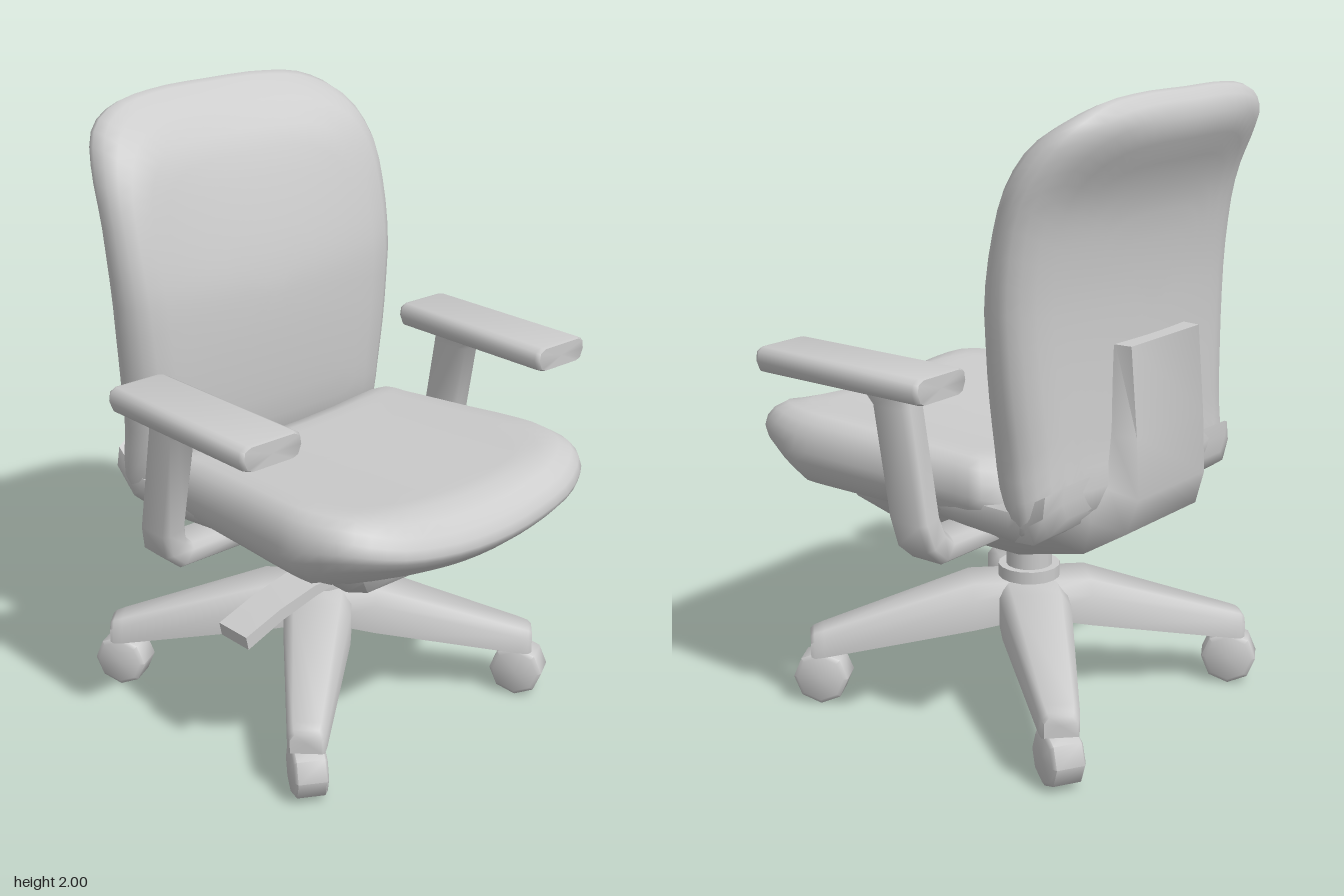
import * as THREE from 'three';
import { toCreasedNormals } from 'three/addons/utils/BufferGeometryUtils.js';

const material = new THREE.MeshStandardMaterial({ color: 0xcccccc });
const V = (x, y, z) => new THREE.Vector3(x, y, z);

function part(name, geometry, parent) {
  const mesh = new THREE.Mesh(geometry, material);
  mesh.name = name;
  parent.add(mesh);
  return mesh;
}

// Skin equal-length rings, close both ends, and turn the faces outward
function loft(rings, crease = 1.1) {
  const tris = [];
  const n = rings[0].length;
  for (let i = 0; i < rings.length - 1; i++) {
    for (let j = 0; j < n; j++) {
      const k = (j + 1) % n;
      const [a, b, c, d] = [rings[i][j], rings[i][k], rings[i + 1][k], rings[i + 1][j]];
      tris.push([a, b, c], [a, c, d]);
    }
  }
  for (const [ring, last] of [[rings[0], false], [rings[rings.length - 1], true]]) {
    const mid = ring.reduce((s, p) => s.add(p), V(0, 0, 0)).divideScalar(n);
    ring.forEach((p, j) => {
      const q = ring[(j + 1) % n];
      tris.push(last ? [mid, p, q] : [mid, q, p]);
    });
  }
  const volume = tris.reduce((s, [a, b, c]) => s + a.dot(b.clone().cross(c)), 0);
  const points = tris.flatMap(([a, b, c]) => (volume > 0 ? [a, b, c] : [a, c, b]));
  return toCreasedNormals(new THREE.BufferGeometry().setFromPoints(points), crease);
}

// Closed smooth outline from its right half, listed from one centre point to the other
function outline(half, count) {
  const mirrored = half.slice(1, -1).reverse().map(([u, v]) => [-u, v]);
  const pts = [...half, ...mirrored].map(([u, v]) => V(u, v, 0));
  return new THREE.CatmullRomCurve3(pts, true).getPoints(count).slice(0, -1);
}

// Cushion: nested outlines swept between a low and a high surface
const FLAT = [0.08, 0.2, 0.32, 0.44, 0.56, 0.68, 0.78];
const CUSHION = [...FLAT.map((s) => [s, 0]), [0.88, 0.02], [0.95, 0.12], [0.99, 0.27], [1, 0.42],
  [0.985, 0.65], [0.95, 0.83], [0.89, 0.96], ...FLAT.map((s) => [s, 1]).reverse()];
function cushion(edge, centre, low, high, place) {
  return loft(CUSHION.map(([s, h]) => edge.map((p) => {
    const u = p.x * s;
    const v = centre + (p.y - centre) * s;
    return place(u, v, THREE.MathUtils.lerp(low(u, v), high(u, v), h));
  })), 1.2);
}

// Smooth single-valued profile: lookup along a spline whose first coordinate rises
function profile(rows) {
  const pts = new THREE.SplineCurve(rows.map(([a, b]) => new THREE.Vector2(a, b))).getPoints(80);
  return (x) => {
    const i = Math.max(1, pts.findIndex((p) => p.x >= Math.min(x, rows[rows.length - 1][0] - 1e-4)));
    const [p, q] = [pts[i - 1], pts[i]];
    return THREE.MathUtils.lerp(p.y, q.y, THREE.MathUtils.clamp((x - p.x) / (q.x - p.x), 0, 1));
  };
}

export function createModel() {
  const chair = new THREE.Group();
  chair.name = 'officeChair';

  // Seat cushion, dished along the middle, its nose dipping at the front
  const seatEdge = outline([[0, 0.7], [0.2, 0.692], [0.38, 0.665], [0.5, 0.59], [0.555, 0.45],
    [0.555, 0.3], [0.535, 0.1], [0.51, -0.18], [0.49, -0.31], [0.25, -0.345], [0, -0.345]], 56);
  part('seat', cushion(seatEdge, 0.15,
    (x, z) => 0.64 + 0.4 * x * x + 0.5 * Math.max(0, z - 0.42),
    (x, z) => 0.91 + 0.05 * z + 0.21 * x * x - 2.5 * Math.max(0, z - 0.54) ** 2,
    (x, z, y) => V(x, y, z)), chair);

  // Backrest, leaning back at the top with its sides wrapped forward
  const backEdge = outline([[0, 2.0], [0.22, 1.998], [0.38, 1.975], [0.495, 1.91], [0.55, 1.79],
    [0.562, 1.62], [0.555, 1.4], [0.535, 1.15], [0.515, 0.95], [0.51, 0.8], [0.48, 0.735],
    [0.25, 0.72], [0, 0.715]], 64);
  const frontLine = profile([[0.7, -0.39], [0.85, -0.33], [1, -0.305], [1.3, -0.3], [1.5, -0.33],
    [1.8, -0.43], [1.93, -0.52], [2, -0.6]]);
  const rearLine = profile([[0.7, -0.49], [0.8, -0.57], [0.95, -0.56], [1.27, -0.545], [1.5, -0.55],
    [1.7, -0.585], [1.88, -0.68], [1.95, -0.7], [2, -0.66]]);
  part('backrest', cushion(backEdge, 1.35,
    (x, y) => rearLine(y) + 0.22 * x * x,
    (x, y) => frontLine(y) + 0.18 * x * x * THREE.MathUtils.clamp((y - 1.3) / 0.6, 0, 1),
    (x, y, z) => V(x, y, z)), chair);

  // Under-seat shell flaring out to the cushions and turning up into the back support:
  // outer z, y, half width, then inner z, y, half width
  const shell = [
    [0.42, 0.63, 0.26, 0.43, 0.71, 0.3], [0.26, 0.55, 0.2, 0.3, 0.73, 0.4],
    [0, 0.55, 0.2, 0, 0.74, 0.46], [-0.2, 0.55, 0.2, -0.2, 0.75, 0.48],
    [-0.45, 0.61, 0.2, -0.4, 0.77, 0.48], [-0.595, 0.7, 0.19, -0.49, 0.81, 0.4],
    [-0.63, 0.81, 0.18, -0.5, 0.88, 0.29], [-0.62, 1.0, 0.18, -0.49, 1.0, 0.23],
    [-0.595, 1.27, 0.18, -0.49, 1.27, 0.19]];
  part('seatShell', loft(shell.map(([z, y, w, iz, iy, iw]) => {
    const [mz, my, mw] = [z + (iz - z) * 0.5, y + (iy - y) * 0.5, w + (iw - w) * 0.5];
    return [V(-w, y, z), V(w, y, z), V(mw, my, mz), V(iw, iy, iz), V(-iw, iy, iz), V(-mw, my, mz)];
  }), 1.3), chair);

  // Web closing the corner between seat and backrest: z, bottom, top, half width
  const web = [[0.05, 0.74, 0.82, 0.48], [-0.2, 0.725, 0.81, 0.5], [-0.4, 0.715, 0.81, 0.505],
    [-0.47, 0.72, 0.85, 0.505], [-0.52, 0.755, 0.88, 0.5], [-0.545, 0.8, 0.9, 0.44]];
  part('cushionWeb', loft(web.map(([z, b, t, w]) => [
    V(-w * 0.94, b, z), V(w * 0.94, b, z), V(w, (b + t) / 2, z), V(w * 0.98, t, z),
    V(-w * 0.98, t, z), V(-w, (b + t) / 2, z)])), chair);

  // Armrests: outer x, y, inner x, y, front z, rear z
  const armPath = [
    [0.65, 1.15, 0.56, 1.15, 0.05, -0.14], [0.65, 1.1, 0.56, 1.1, 0, -0.145],
    [0.65, 0.76, 0.565, 0.78, -0.06, -0.205], [0.632, 0.68, 0.555, 0.73, -0.07, -0.22],
    [0.575, 0.63, 0.525, 0.7, -0.075, -0.225], [0.25, 0.63, 0.25, 0.7, -0.075, -0.225]];
  for (const side of [1, -1]) {
    const arm = new THREE.Group();
    arm.name = side > 0 ? 'leftArmrest' : 'rightArmrest';
    part('armSupport', loft(armPath.map(([ox, oy, ix, iy, zf, zr]) => {
      const at = (t, z) => V(side * (ox + (ix - ox) * t), oy + (iy - oy) * t, z);
      return [at(0.2, zf), at(0.8, zf), at(1, zf - 0.02), at(1, zr + 0.02),
        at(0.8, zr), at(0.2, zr), at(0, zr + 0.02), at(0, zf - 0.02)];
    })), arm);

    // Pad with rounded long edges and slightly chamfered ends
    const padEnds = [[0.4, 0.92], [0.385, 1], [-0.225, 1], [-0.24, 0.92]];
    const padSection = [[-0.085, 0.04], [0.085, 0.04], [0.108, 0.028], [0.113, 0],
      [0.1, -0.032], [0.08, -0.04], [-0.08, -0.04], [-0.1, -0.032], [-0.113, 0], [-0.108, 0.028]];
    part('armPad', loft(padEnds.map(([z, s]) =>
      padSection.map(([x, y]) => V(side * 0.605 + x * s, 1.18 + y * s, z)))), arm);
    chair.add(arm);
  }

  // Height lever on the right side
  const lever = [[-0.18, 0.575, 0.012], [-0.28, 0.565, 0.018], [-0.42, 0.53, 0.02], [-0.555, 0.48, 0.022]];
  part('heightLever', loft(lever.map(([x, y, t]) => [
    V(x, y - t, 0.08), V(x - t * 0.4, y + t, 0.08), V(x - t * 0.4, y + t, 0.21), V(x, y - t, 0.21)])), chair);

  // Base: column, collar, four tapered legs and casters
  const base = new THREE.Group();
  base.name = 'base';
  base.position.z = -0.09;
  chair.add(base);
  part('gasColumn', new THREE.CylinderGeometry(0.075, 0.075, 0.2, 16), base).position.y = 0.48;
  part('columnCollar', new THREE.CylinderGeometry(0.1, 0.1, 0.07, 16), base).position.y = 0.405;

  // Distance from centre, top, bottom, half width
  const legPath = [[0, 0.4, 0.29, 0.11], [0.19, 0.4, 0.255, 0.11], [0.67, 0.25, 0.165, 0.062],
    [0.7, 0.24, 0.16, 0.056], [0.712, 0.23, 0.165, 0.05]];
  const legGeometry = loft(legPath.map(([r, t, b, w]) => {
    const m = t - (t - b) * 0.3;
    return [V(-w, b, r), V(-w, m, r), V(-w * 0.7, t, r), V(w * 0.7, t, r), V(w, m, r), V(w, b, r)];
  }));
  const wheelGeometry = toCreasedNormals(new THREE.LatheGeometry(
    [[0, -0.055], [0.075, -0.053], [0.089, -0.044], [0.089, 0.044], [0.075, 0.053], [0, 0.055]]
      .map(([r, y]) => new THREE.Vector2(r, y)), 8), 1.1);
  for (const sx of [1, -1]) {
    for (const sz of [1, -1]) {
      part('baseLeg', legGeometry, base).rotation.y = Math.atan2(sx, sz);
      const caster = new THREE.Group();
      caster.name = 'caster';
      caster.position.set(sx * 0.475, 0, sz * 0.475);
      const wheel = part('casterWheel', wheelGeometry, caster);
      wheel.position.y = 0.089;
      wheel.rotation.set(0, sx * sz * Math.PI / 6, Math.PI / 2);
      part('casterStem', new THREE.CylinderGeometry(0.025, 0.025, 0.08, 8), caster).position.y = 0.16;
      base.add(caster);
    }
  }
  return chair;
}
